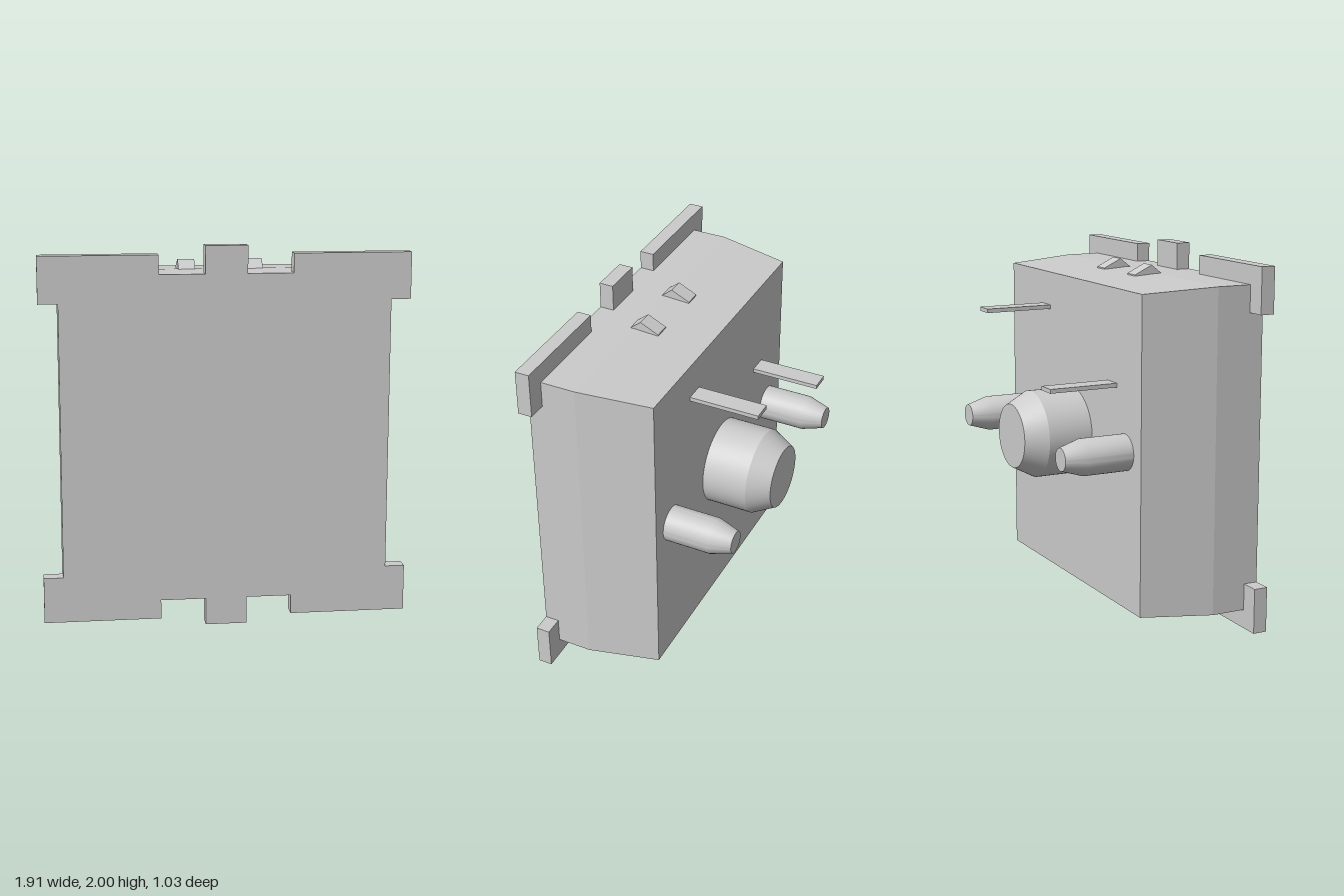
import * as THREE from 'three';
import { toCreasedNormals } from 'three/addons/utils/BufferGeometryUtils.js';

const MID_Y = 1;
const BACK = -0.14; // z of the housing's rear face
const material = new THREE.MeshStandardMaterial({ color: 0xcccccc });

function part(parent, name, geometry, x = 0, y = 0, z = 0) {
  const mesh = new THREE.Mesh(geometry, material);
  mesh.name = name;
  mesh.position.set(x, y, z);
  parent.add(mesh);
  return mesh;
}

// Solid lofted through rectangles [z, half width, half height], back to front
function loftRects(rects) {
  const pos = [], idx = [];
  for (const [z, w, h] of rects) pos.push(-w, -h, z, w, -h, z, w, h, z, -w, h, z);
  for (let r = 0; r < rects.length - 1; r++) {
    for (let i = 0; i < 4; i++) {
      const a = r * 4 + i, b = r * 4 + (i + 1) % 4;
      idx.push(a, b, b + 4, a, b + 4, a + 4);
    }
  }
  const f = (rects.length - 1) * 4;
  idx.push(0, 2, 1, 0, 3, 2, f, f + 1, f + 2, f, f + 2, f + 3);
  const g = new THREE.BufferGeometry();
  g.setAttribute('position', new THREE.Float32BufferAttribute(pos, 3));
  g.setIndex(idx);
  const flat = g.toNonIndexed();
  flat.computeVertexNormals();
  return flat;
}

// Peg with a tapered tip, pointing towards -z
function pegGeometry(radius, tipRadius) {
  const profile = [[0, 0], [radius, 0], [radius, 0.248], [tipRadius, 0.365], [0, 0.365]];
  const g = new THREE.LatheGeometry(profile.map(([r, l]) => new THREE.Vector2(r, l)), 64);
  return toCreasedNormals(g.rotateX(-Math.PI / 2), 0.35);
}

export function createModel() {
  const model = new THREE.Group();
  model.name = 'switchHousing';

  // Tapered housing
  part(model, 'housing', loftRects([
    [BACK, 0.78, 0.833],
    [0.25, 0.854, 0.857],
    [0.45, 0.854, 0.857],
  ]), 0, MID_Y, 0);

  // Front plate with corner and centre tabs: one quarter, mirrored round the outline
  const quarter = [[0.854, 0.715], [0.956, 0.715], [0.956, 0.957], [0.345, 0.957],
    [0.345, 0.857], [0.109, 0.857], [0.109, 1]];
  const mirror = (sx, sy) => {
    const pts = quarter.map(([x, y]) => new THREE.Vector2(x * sx, y * sy));
    return sx * sy > 0 ? pts : pts.reverse();
  };
  const outline = [...mirror(1, 1), ...mirror(-1, 1), ...mirror(-1, -1), ...mirror(1, -1)];
  const plate = new THREE.ExtrudeGeometry(new THREE.Shape(outline),
    { depth: 0.076, bevelEnabled: false });
  part(model, 'frontPlate', plate, 0, MID_Y, 0.438);

  // Wedge clips on the top and bottom faces
  const wedge = new THREE.Shape([[-0.28, -0.02], [-0.12, -0.02], [-0.12, 0], [-0.22, 0.048],
    [-0.28, 0]].map(([x, y]) => new THREE.Vector2(x, y)));
  const clip = new THREE.ExtrudeGeometry(wedge, { depth: 0.088, bevelEnabled: false });
  clip.translate(0, 0, -0.044).rotateY(Math.PI / 2); // shape x becomes -z
  const clipBelow = clip.clone().rotateZ(Math.PI);
  for (const x of [-0.178, 0.178]) {
    part(model, 'topClip', clip, x, MID_Y + 0.856, 0);
    part(model, 'bottomClip', clipBelow, x, MID_Y - 0.856, 0);
  }

  // Round pegs on the rear face
  part(model, 'centrePeg', pegGeometry(0.234, 0.172), 0, MID_Y + 0.003, BACK);
  const sidePeg = pegGeometry(0.096, 0.06);
  for (const x of [-0.607, 0.607]) part(model, 'sidePeg', sidePeg, x, MID_Y + 0.003, BACK);

  // Flat contact blades
  const blade = new THREE.BoxGeometry(0.104, 0.022, 0.395);
  part(model, 'upperContact', blade, 0.333, 1.64, -0.3175);
  part(model, 'lowerContact', blade, -0.463, 1.335, -0.3175);

  return model;
}
